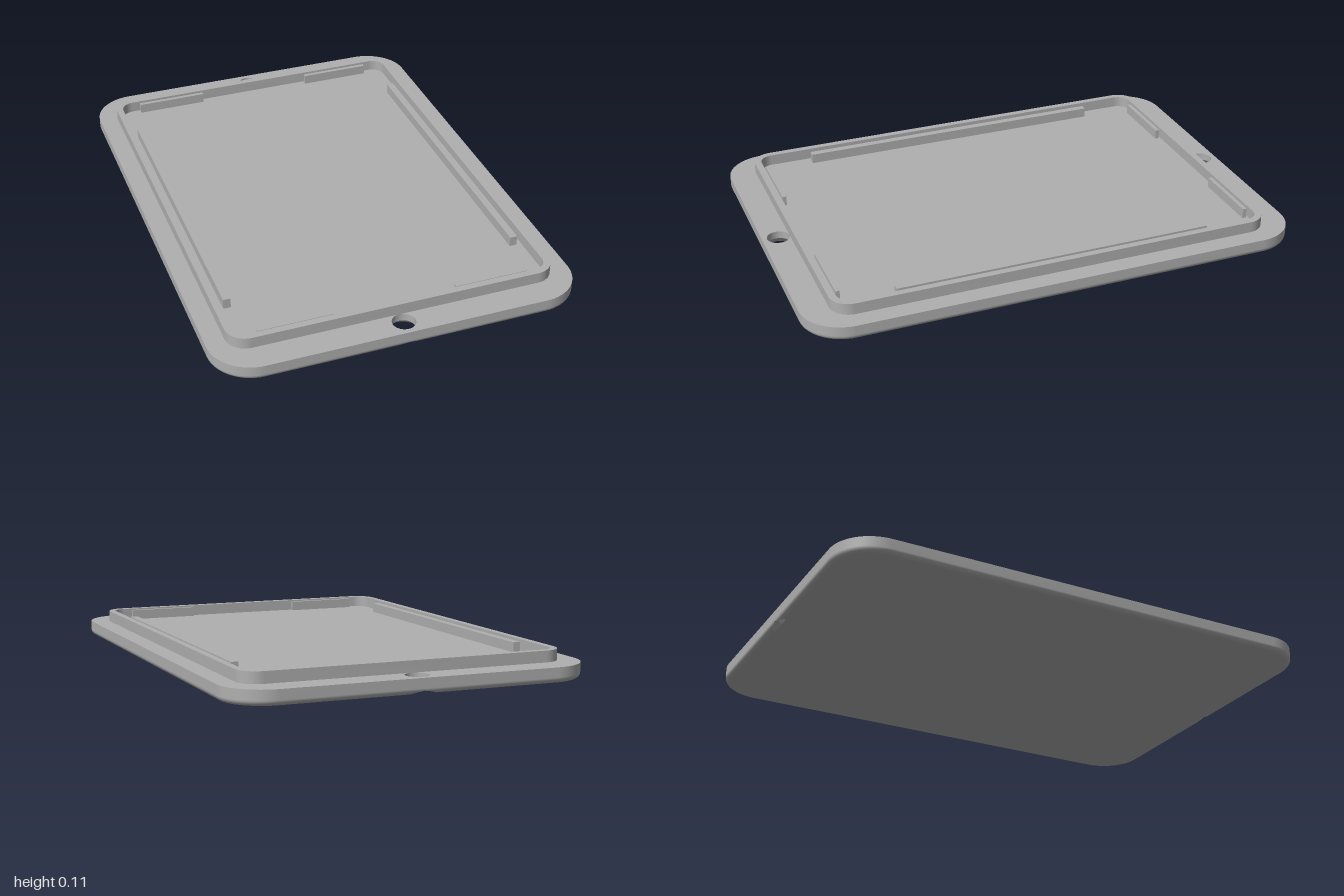
import * as THREE from 'three';
import { toCreasedNormals } from 'three/addons/utils/BufferGeometryUtils.js';

const W = 0.72, D = 1, H = 0.06, CORNER = 0.17, FILLET = 0.022;  // base plate
const TOP = 0.105;                                                // top of lip
const HOLE_Z = 0.935, HOLE_R = 0.045, SINK_R = 0.075;             // screw holes
const APEX = 1.109;  // fillet angle where the countersink stops cutting the edge

// Surface through rows of points, each row the same length
function loft(rows) {
  const n = rows[0].length, index = [];
  for (let j = 0; j < rows.length - 1; j++) {
    for (let i = 0; i < n - 1; i++) {
      const a = j * n + i, b = a + n;
      index.push(a, a + 1, b + 1, a, b + 1, b);
    }
  }
  const geometry = new THREE.BufferGeometry().setFromPoints(rows.flat());
  geometry.setIndex(index);
  geometry.computeVertexNormals();
  return geometry;
}

function roundedRect(w, d, r, Type = THREE.Shape) {
  const s = new Type();
  s.absarc(w - r, d - r, r, 0, Math.PI / 2);
  s.absarc(r - w, d - r, r, Math.PI / 2, Math.PI);
  s.absarc(r - w, r - d, r, Math.PI, Math.PI * 1.5);
  s.absarc(w - r, r - d, r, Math.PI * 1.5, Math.PI * 2);
  s.closePath();
  return s;
}

// Height and inset of the rounded lower edge at fillet angle a
const level = (a) => ({ y: FILLET * (1 - Math.cos(a)), inset: FILLET * (1 - Math.sin(a)) });
const sinkRadius = (y) => Math.max(HOLE_R, SINK_R - y);

// Half angle of the countersink circle that lies beyond the plate edge
function biteAngle({ y, inset }) {
  return Math.acos(Math.min(1, (D - inset - HOLE_Z) / sinkRadius(y)));
}

// Plate outline from the front hole round the +x side to the back hole
function halfOutline(lv) {
  const t = biteAngle(lv), x = t < 0.03 ? 0 : sinkRadius(lv.y) * Math.sin(t);
  const z = D - lv.inset, r = CORNER - lv.inset;
  const points = [new THREE.Vector3(x, lv.y, z)];
  for (const [cz, start] of [[D - CORNER, 0], [CORNER - D, Math.PI / 2]]) {
    for (let i = 0; i <= 16; i++) {
      const a = start + (i / 16) * Math.PI / 2;
      points.push(new THREE.Vector3(W - CORNER + r * Math.sin(a), lv.y, cz + r * Math.cos(a)));
    }
  }
  points.push(new THREE.Vector3(x, lv.y, -z));
  return points;
}

// Front hole wall at one height, leaving out the part beyond the plate edge
function holeArc(lv, r = sinkRadius(lv.y)) {
  const bite = biteAngle(lv), t0 = bite < 0.03 ? 0 : bite;
  return Array.from({ length: 41 }, (_, i) => {
    const t = -t0 - (i / 40) * (2 * Math.PI - 2 * t0);
    return new THREE.Vector3(r * Math.sin(t), lv.y, HOLE_Z + r * Math.cos(t));
  });
}

export function createModel() {
  const grey = new THREE.MeshStandardMaterial({ color: 0xb0b0b0 });
  grey.name = 'grey';
  const model = new THREE.Group();
  model.name = 'coverPlate';
  const add = (name, geometry, parent = model) => {
    const mesh = new THREE.Mesh(geometry, grey);
    mesh.name = name;
    parent.add(mesh);
    return mesh;
  };

  // Levels up the rounded edge, then the top of the plate
  const levels = [];
  for (let i = 0; i <= 8; i++) levels.push(level(APEX * i / 8));
  const cut = levels.slice();
  for (let i = 1; i <= 4; i++) levels.push(level(APEX + (Math.PI / 2 - APEX) * i / 4));
  const top = { y: H, inset: 0 }, sinkTop = { y: SINK_R - HOLE_R, inset: 0 };

  // Plate sides and countersunk holes, one of each per half turn
  const edge = loft([...levels, top].map(halfOutline));
  const sink = loft([...cut, sinkTop].map((lv) => holeArc(lv)));
  const bore = loft([sinkTop, top].map((lv) => holeArc(lv, HOLE_R)));
  for (const turn of [0, Math.PI]) {
    const half = new THREE.Group();
    half.name = turn ? 'leftBackHalf' : 'rightFrontHalf';
    half.rotation.y = turn;
    add('plateEdge', edge, half);
    add('countersink', sink, half);
    add('screwHole', bore, half);
    model.add(half);
  }

  // Underside, with the countersinks biting into its ends
  const side = halfOutline(levels[0]), arc = holeArc(levels[0]).reverse();
  const outline = [];
  for (const s of [1, -1]) {
    // across the front hole is closed by the arc of the opposite half
    side.forEach((p) => outline.push(new THREE.Vector2(s * p.x, s * p.z)));
    arc.slice(1, -1).forEach((p) => outline.push(new THREE.Vector2(-s * p.x, -s * p.z)));
  }
  const underside = new THREE.ShapeGeometry(new THREE.Shape(outline));
  add('underside', underside.rotateX(Math.PI / 2));

  // Top face with both holes
  const face = roundedRect(W, D, CORNER);
  for (const s of [1, -1]) {
    face.holes.push(new THREE.Path().absarc(0, s * HOLE_Z, HOLE_R, 0, Math.PI * 2));
  }
  add('topFace', new THREE.ShapeGeometry(face, 20).rotateX(-Math.PI / 2).translate(0, H, 0));

  // Raised lip
  const lip = roundedRect(0.645, 0.89, 0.08);
  lip.holes.push(roundedRect(0.618, 0.862, 0.053, THREE.Path));
  const lipGeometry = new THREE.ExtrudeGeometry(lip, { depth: TOP - H, bevelEnabled: false, curveSegments: 12 });
  add('lip', toCreasedNormals(lipGeometry.rotateX(-Math.PI / 2).translate(0, H, 0), 0.6));

  // Inner rails along the sides and tabs at the ends
  const ribHeight = 0.04, ribY = H + ribHeight / 2;
  const rail = new THREE.BoxGeometry(0.029, ribHeight, 1.28);
  const tab = new THREE.BoxGeometry(0.29, ribHeight, 0.016);
  for (const sx of [1, -1]) {
    const name = sx > 0 ? 'left' : 'right';
    add(name + 'Rail', rail).position.set(sx * 0.583, ribY, 0);
    for (const sz of [1, -1]) {
      add(name + (sz > 0 ? 'FrontTab' : 'BackTab'), tab).position.set(sx * 0.388, ribY, sz * 0.846);
    }
  }
  return model;
}
